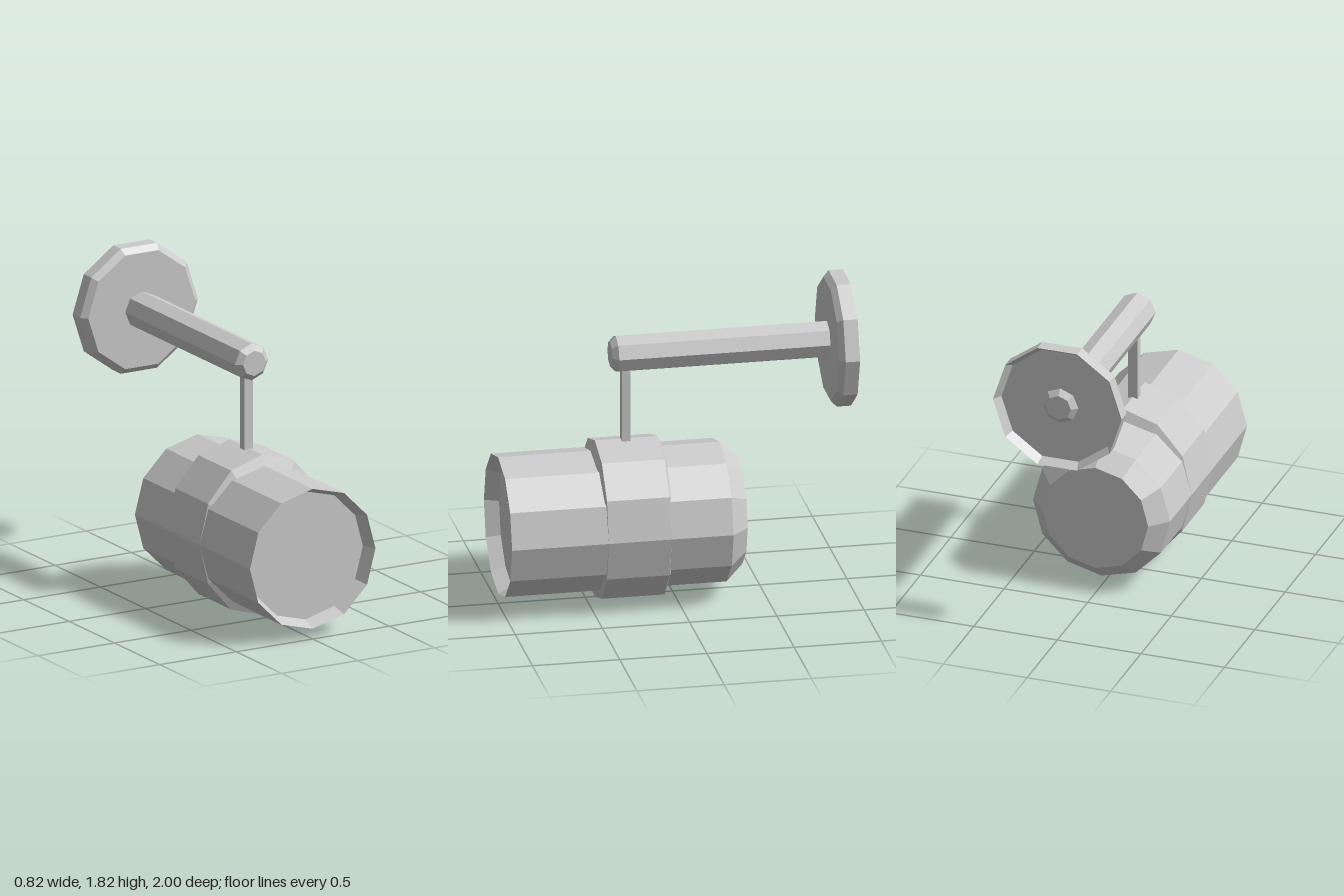
import * as THREE from 'three';

const grey = new THREE.MeshStandardMaterial({ color: 0xcccccc, flatShading: true });

// Faceted solid of revolution about the z axis; profile is [radius, z] from back to front
function turned(name, profile, sides, y, phase = 0) {
  const points = profile.map(([r, z]) => new THREE.Vector2(r, z));
  const geometry = new THREE.LatheGeometry(points, sides, phase).rotateX(Math.PI / 2);
  const mesh = new THREE.Mesh(geometry, grey);
  mesh.name = name;
  mesh.position.y = y;
  return mesh;
}

export function createModel() {
  const model = new THREE.Group();
  model.name = 'wallSpotlight';
  const lampY = 0.472, armY = 1.455;

  // Lamp housing with a chamfered back and a recessed front
  model.add(turned('lampHousing', [
    [0, -0.37], [0.315, -0.37], [0.41, -0.27], [0.41, 1], [0.375, 0.92], [0, 0.92],
  ], 12, lampY));

  // Raised band, narrowed sideways so it only stands out above and below
  const band = turned('clampBand', [
    [0.41, 0.06], [0.47, 0.085], [0.47, 0.445], [0.41, 0.47],
  ], 12, lampY);
  band.scale.x = 0.41 / 0.47;
  model.add(band);

  // Hanging rod between arm and band
  const rod = new THREE.Mesh(new THREE.BoxGeometry(0.054, 0.435, 0.05), grey);
  rod.name = 'hangingRod';
  rod.position.set(0, 1.1425, 0.27);
  model.add(rod);

  // Horizontal arm with chamfered ends
  model.add(turned('arm', [
    [0, -0.98], [0.074, -0.98], [0.108, -0.95], [0.108, 0.325], [0.074, 0.358], [0, 0.358],
  ], 8, armY));

  // Wall plate with a hollowed back
  model.add(turned('wallPlate', [
    [0, -0.95], [0.352, -0.95], [0.385, -1], [0.385, -0.918], [0.35, -0.886], [0, -0.886],
  ], 10, armY, Math.PI / 10));

  return model;
}
